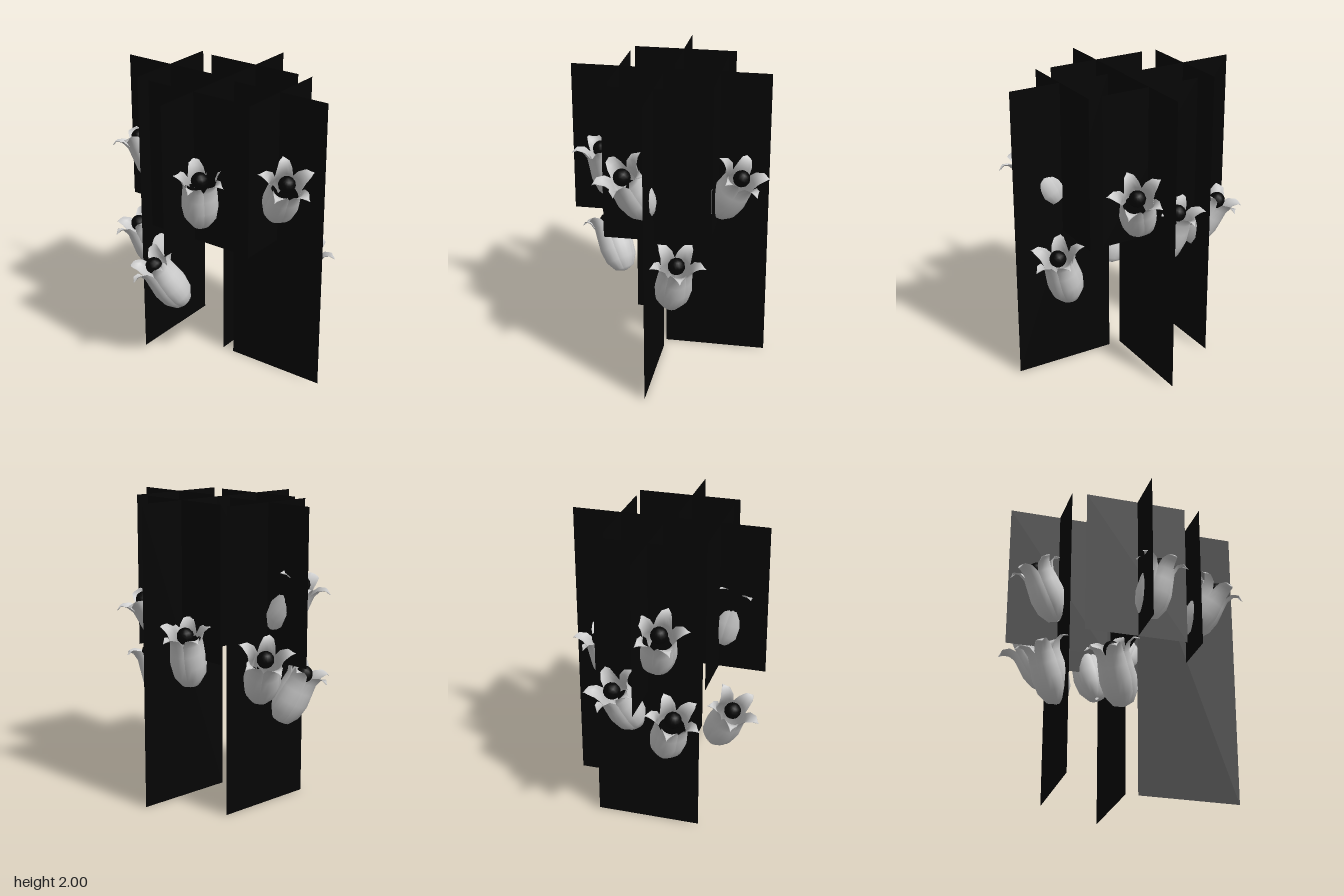
import * as THREE from 'three';

const petalWhite = new THREE.MeshStandardMaterial({ name: 'petalWhite', color: 0xcccccc, side: THREE.DoubleSide });
const sheetBlack = new THREE.MeshStandardMaterial({ name: 'sheetBlack', color: 0x050505, side: THREE.DoubleSide });

// Petal cross-sections from base to curled tip: [radius, height, half width]
const PETAL = [
  [0.012, 0.0, 0.012], [0.062, 0.02, 0.05], [0.1, 0.09, 0.084], [0.112, 0.18, 0.094],
  [0.104, 0.27, 0.084], [0.098, 0.34, 0.064], [0.115, 0.395, 0.052], [0.15, 0.42, 0.034], [0.176, 0.405, 0.003],
];
const COLS = 6;

function petalGeometry() {
  const pos = [], idx = [];
  PETAL.forEach(([r, y, w], i) => {
    for (let j = 0; j <= COLS; j++) {
      const u = (j / COLS) * 2 - 1;
      const a = (u * w) / r;
      const rr = r * (1 + 0.1 * (1 - u * u)); // bulge along the midrib
      pos.push(rr * Math.sin(a), y, rr * Math.cos(a));
      if (i > 0 && j > 0) {
        const d = i * (COLS + 1) + j, c = d - 1, b = d - COLS - 1, e = b - 1;
        idx.push(e, b, d, e, d, c);
      }
    }
  });
  const g = new THREE.BufferGeometry();
  g.setAttribute('position', new THREE.Float32BufferAttribute(pos, 3));
  g.setIndex(idx);
  g.computeVertexNormals();
  return g;
}

export function createModel() {
  const model = new THREE.Group();
  model.name = 'floweringPlant';

  // Crossed foliage sheets: [facing axis, offset, from, to, bottom]
  const sheets = [
    ['z', 0.01, -0.66, 0.03, 0.98],
    ['z', 0.015, -0.03, 0.66, 0],
    ['z', -0.45, -0.33, 0.37, 0],
    ['z', 0.45, -0.36, 0.34, 0.98],
    ['x', -0.03, 0.1, 0.8, 0],
    ['x', -0.34, -0.35, 0.35, 0.98],
    ['x', 0.01, -0.8, -0.1, 0.98],
    ['x', 0.33, -0.35, 0.35, 0.98],
  ];
  for (const [axis, offset, from, to, bottom] of sheets) {
    const sheet = new THREE.Mesh(new THREE.PlaneGeometry(to - from, 2 - bottom), sheetBlack);
    sheet.name = 'foliageSheet';
    const mid = (from + to) / 2, y = (2 + bottom) / 2;
    if (axis === 'z') sheet.position.set(mid, y, offset);
    else {
      sheet.position.set(offset, y, mid);
      sheet.rotation.y = Math.PI / 2;
    }
    model.add(sheet);
  }

  // Flowers: base point and centre of the dark ball in the mouth
  const flowers = [
    [[-0.05, 1.16, -0.46], [-0.12, 1.5, -0.64]],
    [[0.09, 0.73, -0.46], [0.21, 1.07, -0.64]],
    [[-0.34, 0.47, -0.09], [-0.5, 0.79, -0.22]],
    [[-0.35, 1.11, 0.07], [-0.44, 1.46, 0.13]],
    [[0.34, 0.8, -0.08], [0.44, 1.14, -0.14]],
    [[0.33, 1.04, 0.08], [0.5, 1.35, 0.2]],
    [[-0.07, 1.17, 0.46], [-0.2, 1.49, 0.63]],
    [[0.08, 0.53, 0.46], [0.14, 0.87, 0.58]],
    [[-0.1, 0.54, -0.46], [-0.2, 0.89, -0.6]],
  ];
  const petalGeo = petalGeometry();
  const ballGeo = new THREE.SphereGeometry(0.056, 12, 8);
  const up = new THREE.Vector3(0, 1, 0);
  flowers.forEach(([base, tip], i) => {
    const flower = new THREE.Group();
    flower.name = 'flower';
    const start = new THREE.Vector3(...base);
    const dir = new THREE.Vector3(...tip).sub(start).normalize();
    flower.position.copy(start);
    flower.quaternion.setFromUnitVectors(up, dir);
    for (let k = 0; k < 5; k++) {
      const petal = new THREE.Mesh(petalGeo, petalWhite);
      petal.name = 'petal';
      petal.rotation.y = (k / 5) * Math.PI * 2 + i * 0.4;
      flower.add(petal);
    }
    const ball = new THREE.Mesh(ballGeo, sheetBlack);
    ball.name = 'flowerCentre';
    ball.position.y = 0.37;
    flower.add(ball);
    model.add(flower);
  });
  return model;
}
